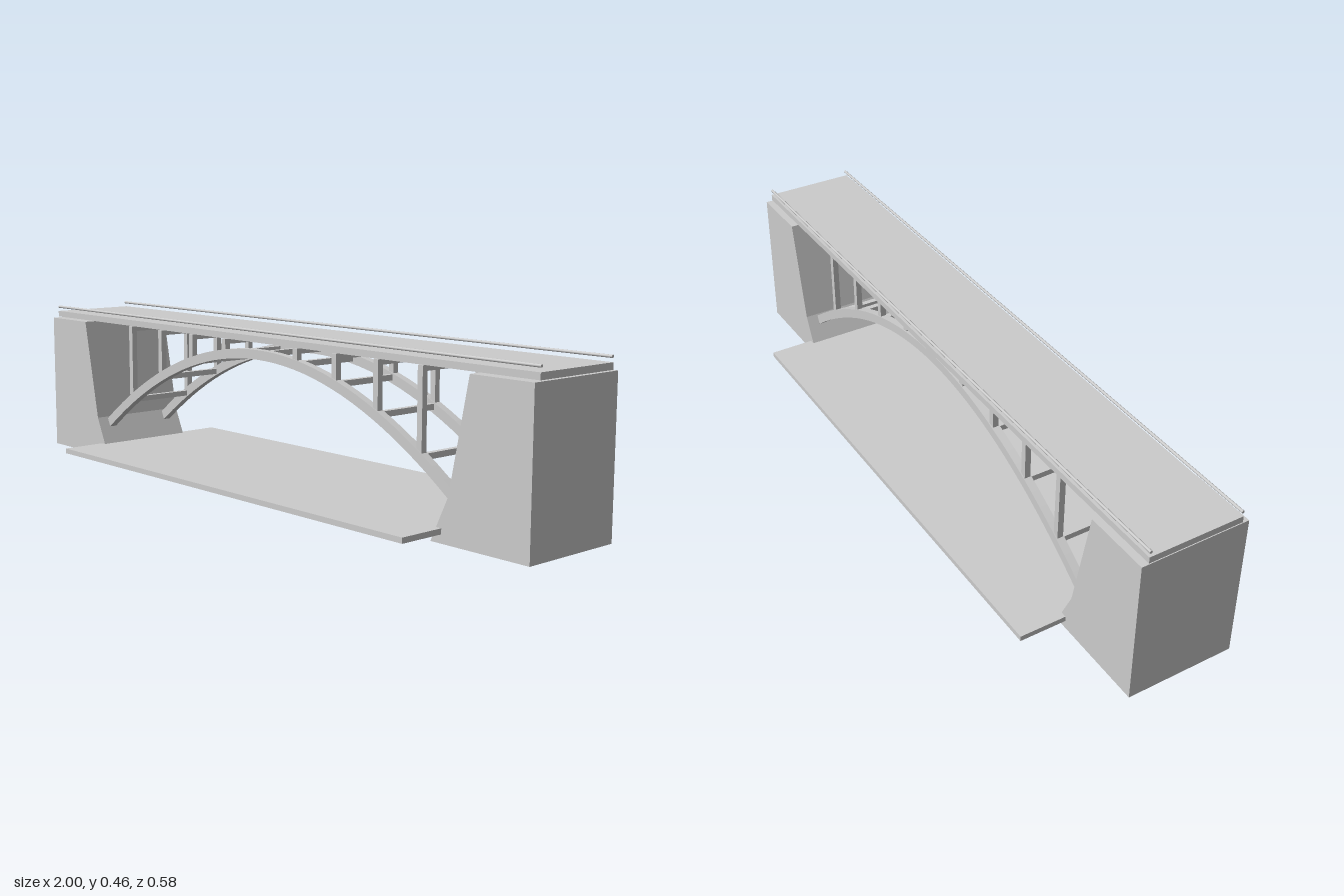
import * as THREE from 'three';

export function createModel() {
  const model = new THREE.Group();
  const material = new THREE.MeshStandardMaterial({ color: 0xcccccc });

  const add = (name, geometry, x = 0, y = 0, z = 0) => {
    const mesh = new THREE.Mesh(geometry, material);
    mesh.name = name;
    mesh.position.set(x, y, z);
    model.add(mesh);
    return mesh;
  };
  const box = (name, w, h, d, x, y, z) => add(name, new THREE.BoxGeometry(w, h, d), x, y, z);
  // Extrude an outline in the xy plane, centred on z = 0
  const slab = (points, depth) => new THREE.ExtrudeGeometry(
    new THREE.Shape(points.map(([x, y]) => new THREE.Vector2(x, y))),
    { depth, bevelEnabled: false }
  ).translate(0, 0, -depth / 2);

  const RIB_Z = 0.106, RISE = 0.386, CURVE = 0.519, HALF_SPAN = 0.77;
  const archY = (x) => RISE - CURVE * x * x;

  // Water surface, deck and handrails
  box('water', 1.46, 0.015, 0.576, 0, 0.0305, 0);
  box('deck', 2, 0.018, 0.269, 0, 0.432, 0);
  for (const s of [-1, 1]) {
    const rail = add('handrail', new THREE.CylinderGeometry(0.004, 0.004, 2, 10), 0, 0.455, s * 0.131);
    rail.rotation.z = Math.PI / 2;
  }

  // Abutments with battered inner faces
  const profile = [[1, 0], [1, 0.42], [0.81, 0.42], [0.75, 0.118], [0.695, 0]];
  for (const s of [-1, 1]) {
    add(s > 0 ? 'leftAbutment' : 'rightAbutment', slab(profile.map(([x, y]) => [s * x, y]), 0.308));
  }

  // Arch ribs: parabola thickened along its normal
  const upper = [], lower = [], SEGMENTS = 40, HALF_DEPTH = 0.0135;
  for (let i = 0; i <= SEGMENTS; i++) {
    const x = HALF_SPAN * (2 * i / SEGMENTS - 1);
    const slope = -2 * CURVE * x, k = HALF_DEPTH / Math.hypot(1, slope);
    upper.push([x - slope * k, archY(x) + k]);
    lower.push([x + slope * k, archY(x) - k]);
  }
  const ribGeometry = slab([...lower, ...upper.reverse()], 0.023);
  for (const s of [-1, 1]) add('archRib', ribGeometry, 0, 0, s * RIB_Z);

  // Spandrel posts, cap beams and cross struts
  const TOP = 0.418, THICK = 0.017;
  for (let i = -4; i <= 4; i++) {
    const x = i * 0.154, y = archY(x);
    box('crossStrut', 0.016, 0.016, 2 * RIB_Z, x, y, 0);
    if (i === 0) continue;
    box('capBeam', THICK, 0.015, 2 * RIB_Z + THICK, x, TOP - 0.0075, 0);
    for (const s of [-1, 1]) {
      box('spandrelPost', THICK, TOP - y, THICK, x, (TOP + y) / 2, s * RIB_Z);
    }
  }
  return model;
}
